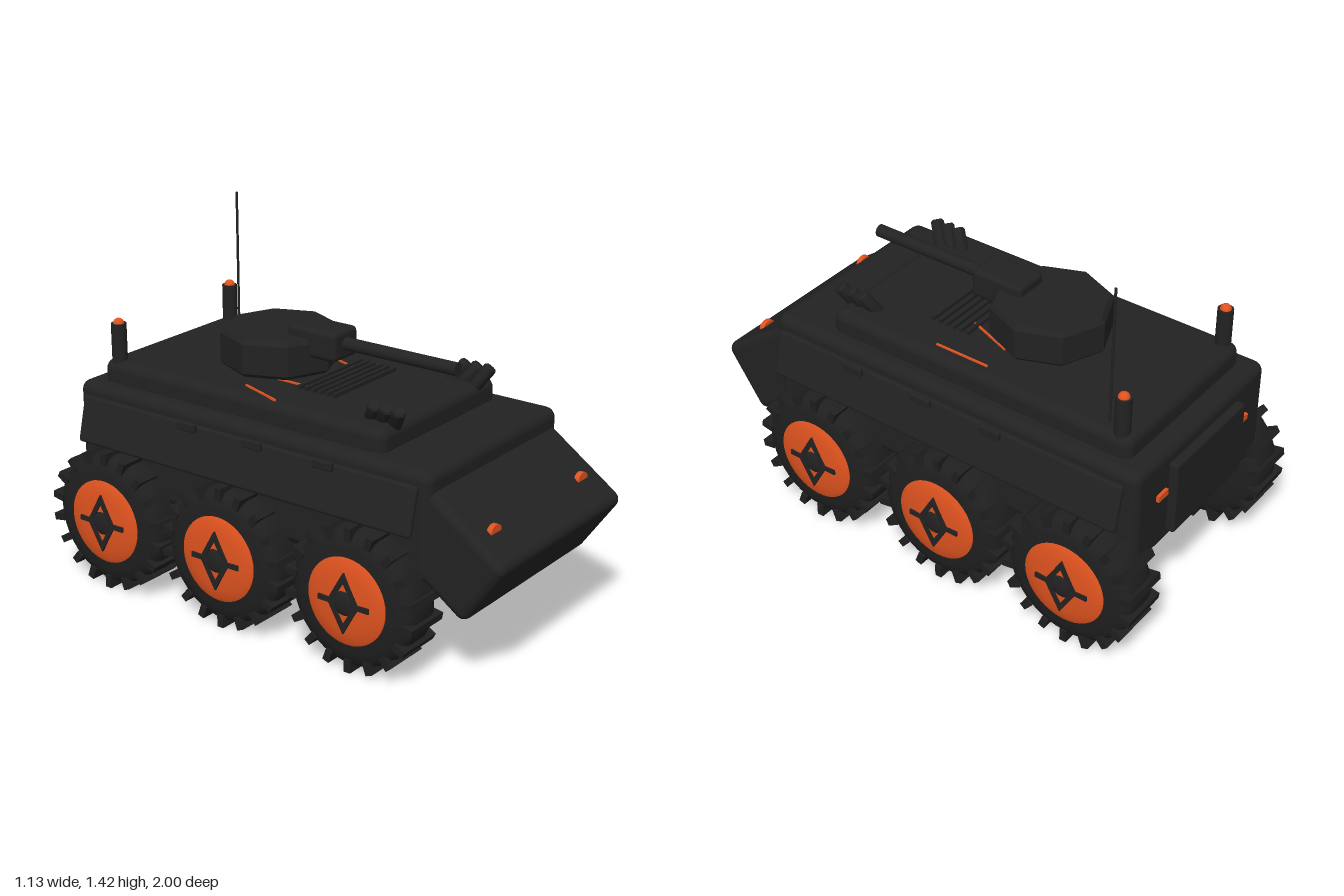
import * as THREE from 'three';
import { toCreasedNormals } from 'three/addons/utils/BufferGeometryUtils.js';
import { RoundedBoxGeometry } from 'three/addons/geometries/RoundedBoxGeometry.js';

const mat = (name, color) => {
  const m = new THREE.MeshStandardMaterial({ color });
  m.name = name;
  return m;
};

export function createModel() {
  const model = new THREE.Group();
  model.name = 'armouredVehicle';
  const armour = mat('charcoal armour', 0x222222);
  const rubber = mat('black rubber', 0x1f1f1f);
  const orange = mat('orange accent', 0xe0531f);

  const add = (name, geometry, material, x = 0, y = 0, z = 0, parent = model) => {
    const mesh = new THREE.Mesh(geometry, material);
    mesh.name = name;
    mesh.position.set(x, y, z);
    parent.add(mesh);
    return mesh;
  };
  const rbox = (w, h, d, r) => new RoundedBoxGeometry(w, h, d, 3, r);
  const box = (w, h, d) => new THREE.BoxGeometry(w, h, d);
  const cyl = (r, h, n = 24) => new THREE.CylinderGeometry(r, r, h, n);
  const lathe = (pts, n) => toCreasedNormals(
    new THREE.LatheGeometry(pts.map(p => new THREE.Vector2(...p)), n), 0.6);

  // Hull, sloping nose and raised deck
  add('hull', rbox(0.86, 0.42, 1.645, 0.04), armour, 0, 0.58, -0.11);
  add('nose', rbox(0.83, 0.3, 0.5, 0.035), armour, 0, 0.525, 0.725).rotation.x = 0.61;
  add('deck', rbox(0.74, 0.12, 1.33, 0.04), armour, 0, 0.815, -0.19);
  add('rearDoor', rbox(0.46, 0.305, 0.04, 0.012), armour, 0, 0.582, -0.95);

  // Side skirts, hinges, lights and rear posts on both sides
  for (const s of [1, -1]) {
    add('sideSkirt', rbox(0.028, 0.185, 1.56, 0.012), armour, s * 0.459, 0.653, -0.105).rotation.z = s * 0.24;
    for (const z of [0.29, -0.03, -0.34])
      add('skirtHinge', rbox(0.02, 0.034, 0.088, 0.006), armour, s * 0.471, 0.742, z);
    add('sideStripe', box(0.008, 0.012, 1.31), orange, s * 0.43, 0.551, -0.105);
    add('rearLight', box(0.06, 0.025, 0.02), orange, s * 0.27, 0.62, -0.935);
    const lamp = add('headlight', cyl(0.033, 0.02), orange, s * 0.295, 0.588, 0.893);
    lamp.rotation.x = Math.PI / 2;
    lamp.scale.z = 0.75;
    add('rearPost', cyl(0.03, 0.16), armour, s * 0.33, 0.94, -0.8);
    add('beacon', new THREE.SphereGeometry(0.022, 20, 12), orange, s * 0.33, 1.018, -0.8);

    // Smoke launchers lean forwards and outwards
    for (let i = 0; i < 3; i++) {
      const tube = add('smokeLauncher', lathe([[0, -0.055], [0.024, -0.055], [0.026, -0.05],
        [0.026, 0.045], [0.02, 0.053], [0, 0.053]], 16), armour, s * 0.275, 0.895, 0.365 + i * 0.052);
      tube.quaternion.setFromUnitVectors(new THREE.Vector3(0, 1, 0),
        new THREE.Vector3(s * 0.38, 0.8, 0.5).normalize());
    }
  }

  // Turret, mantlet and gun
  add('turret', lathe([[0, 0.88], [0.215, 0.88], [0.23, 0.895], [0.23, 1.01], [0.215, 1.03], [0, 1.03]], 8),
    armour, 0, 0, -0.27);
  add('turretRing', cyl(0.18, 0.03), armour, 0, 0.875, -0.27);
  add('mantlet', rbox(0.15, 0.115, 0.225, 0.02), armour, 0, 1.012, -0.068);
  add('gunBarrel', cyl(0.025, 0.52), armour, 0, 1.016, 0.28).rotation.x = Math.PI / 2;

  // Engine grille slats, deck stripes and antenna
  for (let i = 0; i < 6; i++)
    add('grilleSlat', box(0.39, 0.02, 0.014), armour, 0, 0.88, -0.03 + i * 0.032);
  const stripe = (x1, z1, x2, z2) => {
    const m = add('deckStripe', box(0.008, 0.008, Math.hypot(x2 - x1, z2 - z1)), orange,
      (x1 + x2) / 2, 0.877, (z1 + z2) / 2);
    m.rotation.y = Math.atan2(x2 - x1, z2 - z1);
  };
  stripe(0.31, -0.21, 0.31, 0.02);
  stripe(-0.28, -0.21, -0.345, -0.02);
  stripe(-0.155, -0.21, -0.155, 0.0);
  stripe(0.19, -0.2, 0.12, -0.01);
  add('antenna', cyl(0.005, 0.56, 8), armour, 0.31, 1.14, -0.735);

  // Wheels: tyre, lugs, domed orange disc and spoke frame, outer face towards +x
  const tyreGeo = lathe([[0, -0.097], [0.2, -0.097], [0.235, -0.088], [0.257, -0.07], [0.265, -0.045],
    [0.265, 0.045], [0.257, 0.07], [0.235, 0.088], [0.2, 0.097], [0, 0.097]], 40);
  const discGeo = lathe([[0.17, 0.085], [0.168, 0.1], [0.15, 0.108], [0.11, 0.114], [0.06, 0.117], [0, 0.118]], 40);
  const lugGeo = box(0.193, 0.05, 0.028);
  const diamond = (w, h) => [[w, 0], [0, h], [-w, 0], [0, -h]].map(p => new THREE.Vector2(...p));
  const frame = new THREE.Shape(diamond(0.068, 0.118));
  frame.holes.push(new THREE.Path(diamond(0.046, 0.08)));
  const frameGeo = new THREE.ExtrudeGeometry(frame, { depth: 0.02, bevelEnabled: false });

  const addWheel = (side, z) => {
    const wheel = new THREE.Group();
    wheel.name = 'wheel';
    wheel.position.set(side * 0.438, 0.282, z);
    wheel.rotation.y = side > 0 ? 0 : Math.PI;
    model.add(wheel);
    add('tyre', tyreGeo, rubber, 0, 0, 0, wheel).rotation.z = -Math.PI / 2;
    add('wheelDisc', discGeo, orange, 0, 0, 0, wheel).rotation.z = -Math.PI / 2;
    for (let i = 0; i < 18; i++) {
      const a = i / 18 * Math.PI * 2;
      add('treadLug', lugGeo, rubber, 0, Math.cos(a) * 0.256, Math.sin(a) * 0.256, wheel).rotation.x = a;
    }
    add('spokeFrame', frameGeo, armour, 0.103, 0, 0, wheel).rotation.y = Math.PI / 2;
    add('crossSpoke', box(0.02, 0.02, 0.22), armour, 0.112, 0, 0, wheel);
    const cap = add('hubCap', new THREE.SphereGeometry(0.05, 20, 14), armour, 0.112, 0, 0, wheel);
    cap.scale.x = 0.3;
    add('innerCap', cyl(0.04, 0.02), armour, -0.1, 0, 0, wheel).rotation.z = Math.PI / 2;
  };
  for (const z of [0.445, -0.145, -0.718]) for (const s of [1, -1]) addWheel(s, z);

  return model;
}
